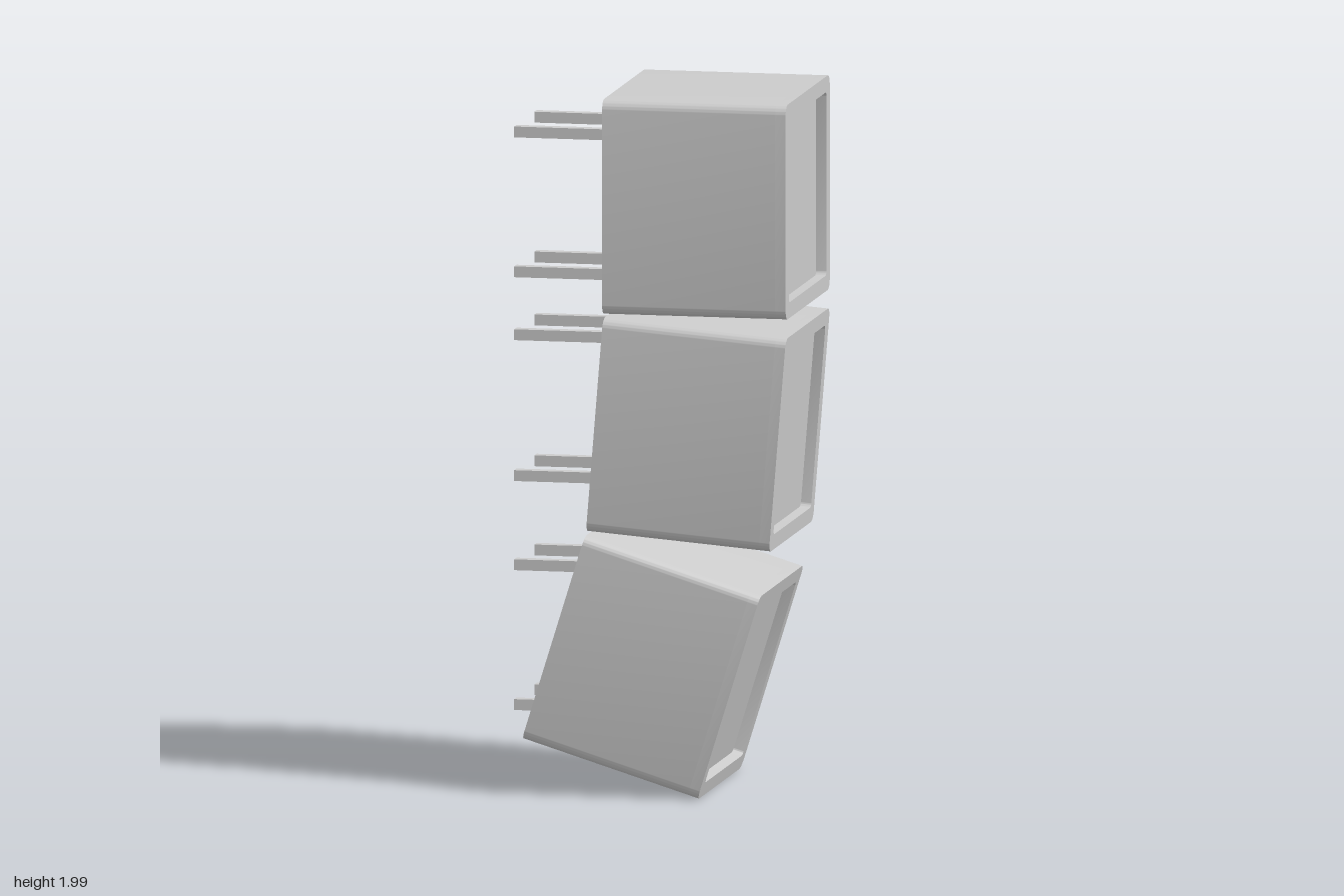
import * as THREE from 'three';
import { toCreasedNormals } from 'three/addons/utils/BufferGeometryUtils.js';

const W = 0.53, H = 0.614, RECESS = 0.03;

function roundedSquare(target, size, r) {
  const h = size / 2, q = Math.PI / 2;
  target.moveTo(-h + r, -h);
  target.absarc(h - r, -h + r, r, -q, 0);
  target.absarc(h - r, h - r, r, 0, q);
  target.absarc(-h + r, h - r, r, q, 2 * q);
  target.absarc(-h + r, -h + r, r, 2 * q, 3 * q);
  target.closePath();
  return target;
}

// Extrude along +x between x0 and x0 + depth
function extrudeX(shape, x0, depth) {
  const g = new THREE.ExtrudeGeometry(shape, { depth, bevelEnabled: false, curveSegments: 8 });
  g.translate(0, 0, x0);
  g.rotateY(Math.PI / 2);
  return toCreasedNormals(g, 0.6);
}

export function createModel() {
  const model = new THREE.Group();
  model.name = 'stackedCabinets';
  const mat = new THREE.MeshStandardMaterial({ color: 0xcccccc });
  const add = (parent, geometry, name) => {
    const m = new THREE.Mesh(geometry, mat);
    m.name = name;
    parent.add(m);
    return m;
  };

  // Solid body and the raised rim around the recessed panel
  const bodyGeo = extrudeX(roundedSquare(new THREE.Shape(), H, 0.03), -W / 2, W - RECESS);
  const rimShape = roundedSquare(new THREE.Shape(), H, 0.03);
  rimShape.holes.push(roundedSquare(new THREE.Path(), 0.524, 0.015));
  const rimGeo = extrudeX(rimShape, W / 2 - RECESS, RECESS);

  // Centre x, centre y, tilt, heights of the mounting bars
  const cabinets = [
    ['upper', 0.14, 1.693, 0, [1.878, 1.478]],
    ['middle', 0.117, 1.048, -0.08, [1.298, 0.895]],
    ['lower', -0.013, 0.379, -0.3, [0.64, 0.24]],
  ];
  for (const [name, x, y, tilt, barHeights] of cabinets) {
    const cabinet = new THREE.Group();
    cabinet.name = name + 'Cabinet';
    cabinet.position.set(x, y, 0);
    cabinet.rotation.z = tilt;
    add(cabinet, bodyGeo, name + 'Body');
    add(cabinet, rimGeo, name + 'Rim');
    model.add(cabinet);

    // Horizontal bars run from the wall plane to the tilted back face
    for (const by of barHeights) {
      const faceX = x - W / 2 / Math.cos(tilt) - (by - y) * Math.tan(tilt);
      const length = faceX + 0.01 + 0.41;
      for (const side of [-1, 1]) {
        const bar = add(model, new THREE.BoxGeometry(length, 0.031, 0.032), name + 'MountingBar');
        bar.position.set(-0.41 + length / 2, by, side * 0.14);
      }
    }
  }
  return model;
}
